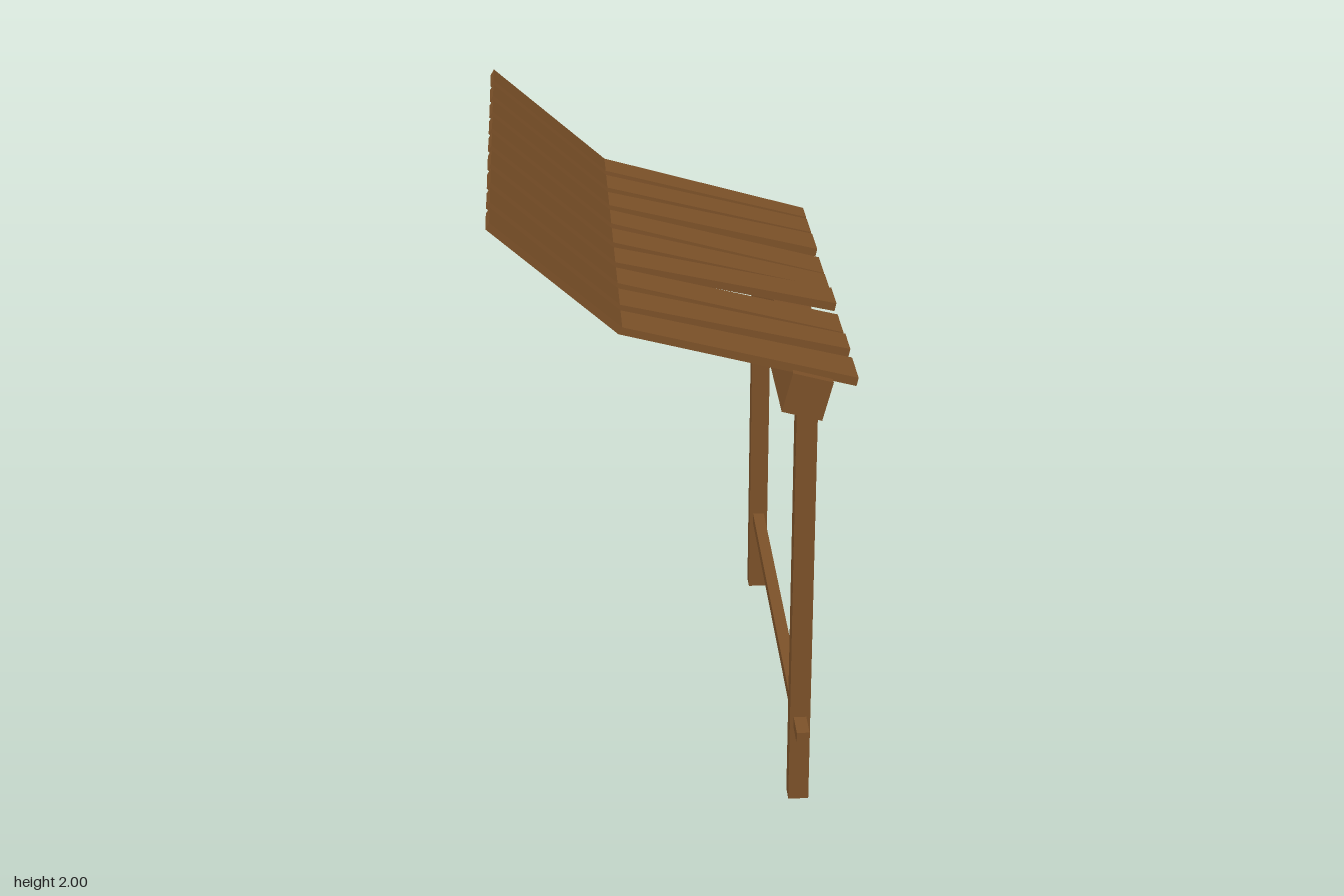
import * as THREE from 'three';

const wood = new THREE.MeshStandardMaterial({ color: 0x7d5229 });
wood.name = 'brown wood';

// Box from its minimum and maximum corners
function beam(name, [x0, y0, z0], [x1, y1, z1]) {
  const mesh = new THREE.Mesh(new THREE.BoxGeometry(x1 - x0, y1 - y0, z1 - z0), wood);
  mesh.position.set((x0 + x1) / 2, (y0 + y1) / 2, (z0 + z1) / 2);
  mesh.name = name;
  return mesh;
}

// Bent board lofted through three cross-sections running along +x
function plank(backZ, frontZ, endBackZ, endFrontZ, endY) {
  const sections = [
    { top: [-0.558, 2.0], bottom: [-0.57, 1.98], z: [backZ, frontZ] },
    { top: [-0.163, 1.66], bottom: [-0.175, 1.638], z: [backZ, frontZ] },
    { top: [0.563, endY + 0.027], bottom: [0.557, endY], z: [endBackZ, endFrontZ] },
  ];
  const rings = sections.map(({ top, bottom, z }) => [
    [...top, z[0]], [...top, z[1]], [...bottom, z[1]], [...bottom, z[0]],
  ]);
  const points = [];
  const quad = (a, b, c, d) => points.push(...a, ...b, ...c, ...a, ...c, ...d);
  for (let i = 0; i < 2; i++) {
    for (let j = 0; j < 4; j++) {
      const k = (j + 1) % 4;
      quad(rings[i][j], rings[i][k], rings[i + 1][k], rings[i + 1][j]);
    }
  }
  quad(...rings[2]);
  quad(...[...rings[0]].reverse());
  const geometry = new THREE.BufferGeometry();
  geometry.setAttribute('position', new THREE.Float32BufferAttribute(points, 3));
  geometry.computeVertexNormals();
  const mesh = new THREE.Mesh(geometry, wood);
  mesh.name = 'roofPlank';
  return mesh;
}

export function createModel() {
  const model = new THREE.Group();
  model.name = 'woodenShelter';

  // Two posts and the low rail that passes through them
  model.add(beam('frontPost', [0.373, 0, 0.762], [0.439, 1.41, 0.828]));
  model.add(beam('backPost', [0.373, 0, -0.812], [0.439, 1.41, -0.746]));
  model.add(beam('lowRail', [0.385, 0.267, -0.889], [0.426, 0.305, 0.932]));

  // Tilted beam carrying the roof
  const ridge = beam('roofBeam', [0.339, 1.368, -0.884], [0.469, 1.499, 0.848]);
  ridge.rotation.z = -0.255;
  model.add(ridge);

  // Uneven lower ends of the planks: back z, front z, underside height
  const ends = [
    [-0.866, -0.757, 1.455], [-0.736, -0.583, 1.456], [-0.547, -0.378, 1.463],
    [-0.322, -0.157, 1.452], [-0.137, 0.006, 1.456], [0.06, 0.212, 1.477],
    [0.252, 0.418, 1.453], [0.467, 0.602, 1.467], [0.648, 0.82, 1.456],
  ];
  const roof = new THREE.Group();
  roof.name = 'roof';
  ends.forEach(([endBack, endFront, endY], i) => {
    const z = -0.937 + i * 0.2;
    roof.add(plank(z, z + 0.15, endBack, endFront, endY));
  });
  model.add(roof);
  return model;
}
